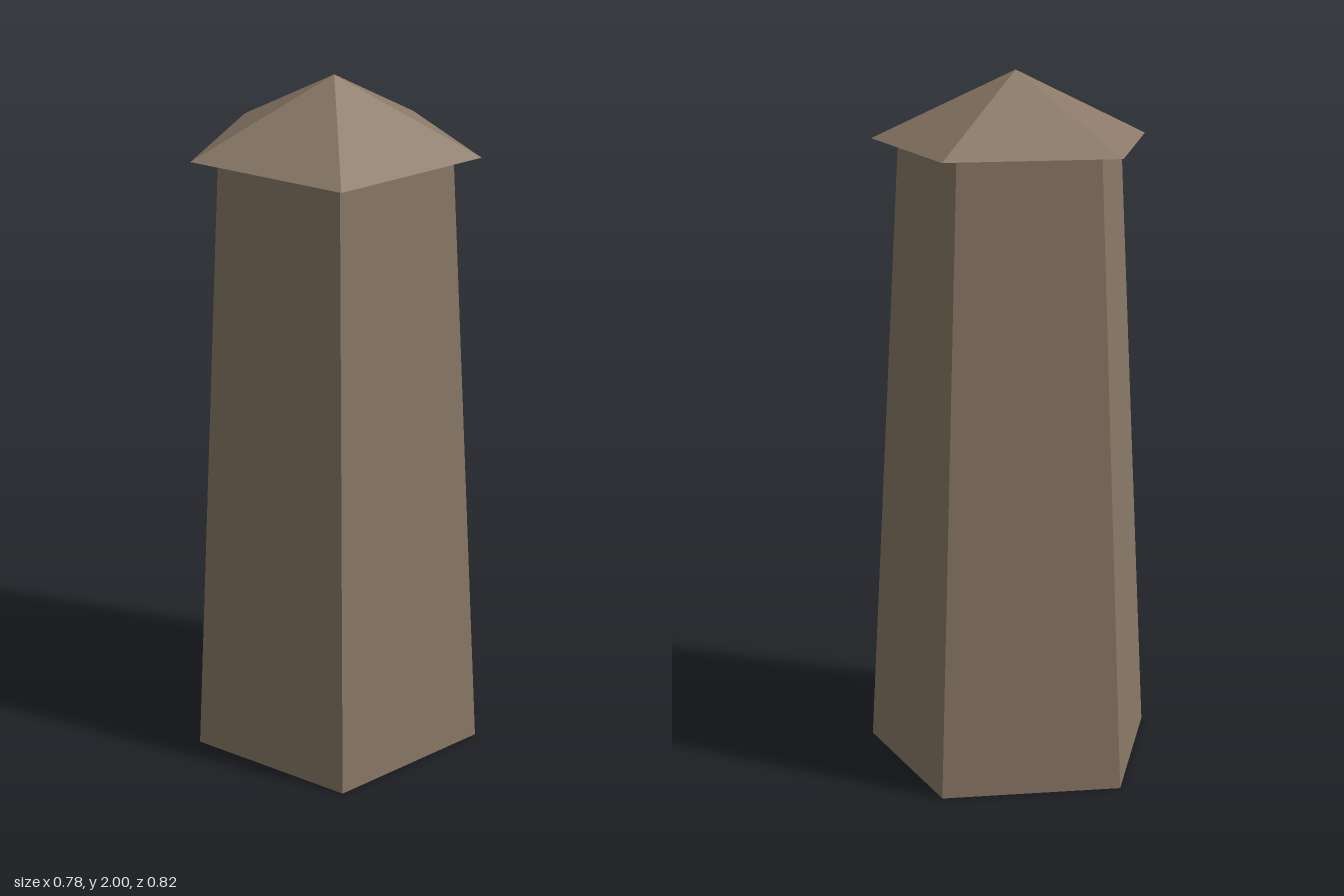
import * as THREE from 'three';

export function createModel() {
  const model = new THREE.Group();
  model.name = 'tower';
  const stone = new THREE.MeshStandardMaterial({ color: 0x8a7967, flatShading: true });
  stone.name = 'brown stone';

  // Five-sided prism or pyramid with one corner pointing to +x
  const addPart = (name, topRadius, bottomRadius, y0, y1) => {
    const geometry = new THREE.CylinderGeometry(topRadius, bottomRadius, y1 - y0, 5, 1, false, Math.PI / 2);
    const mesh = new THREE.Mesh(geometry, stone);
    mesh.name = name;
    // The pentagon's centre is offset so its outline is centred on x = 0
    mesh.position.set(-0.0414, (y0 + y1) / 2, 0);
    model.add(mesh);
  };

  addPart('towerBody', 0.333, 0.4335, 0, 1.8); // tapering shaft
  addPart('roof', 0, 0.41, 1.8, 2); // overhanging pointed roof

  return model;
}
